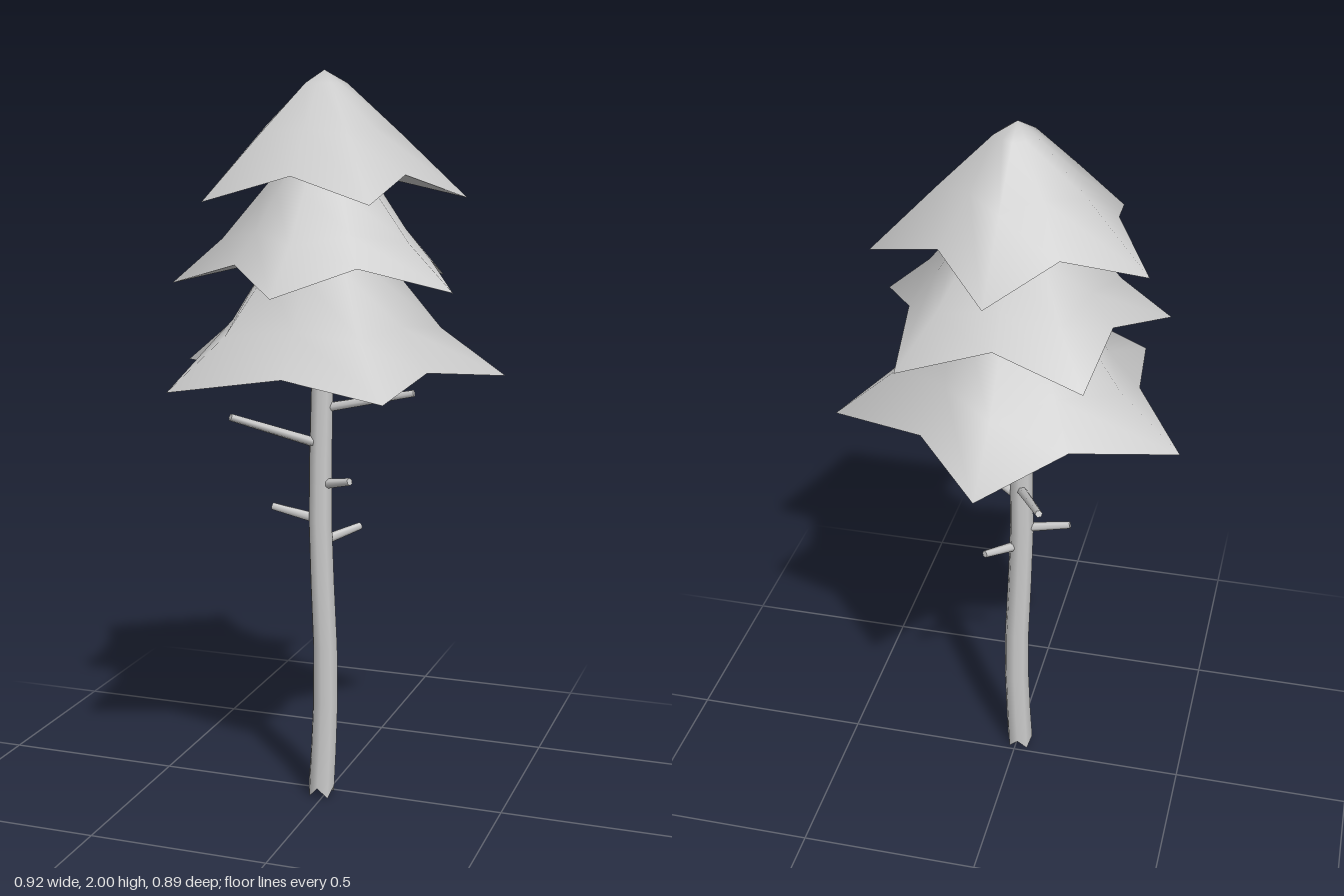
import * as THREE from 'three';
import { mergeVertices } from 'three/addons/utils/BufferGeometryUtils.js';

const material = new THREE.MeshStandardMaterial({ color: 0xcccccc });
const AXIS_Z = 0.04; // the tree axis sits slightly forward
const SPOKES = 10;   // five tips and five notches

// Centre line of the slightly bent trunk
const trunkLine = new THREE.CatmullRomCurve3([
  [-0.01, 0, 0.04], [0, 0.35, 0.032], [-0.013, 0.8, 0.04], [-0.005, 1.2, 0.045], [-0.003, 1.34, 0.045],
].map((p) => new THREE.Vector3(...p)));

function geometryFrom(positions, index) {
  const g = new THREE.BufferGeometry();
  g.setAttribute('position', new THREE.Float32BufferAttribute(positions, 3));
  g.setIndex(index);
  const merged = mergeVertices(g);
  merged.computeVertexNormals();
  return merged;
}

// Star-shaped skirt of foliage: rows of [tipRadius, tipY, notchRadius, notchY] from apex to rim
function foliageTier(name, rows, turn, hollowY) {
  const point = (row, i) => {
    const a = turn + (i * Math.PI * 2) / SPOKES;
    const [r, y] = i % 2 === 0 ? [row[0], row[1]] : [row[2], row[3]];
    return [Math.sin(a) * r, y, AXIS_Z + Math.cos(a) * r];
  };
  const ring = (row) => Array.from({ length: SPOKES }, (_, i) => point(row, i)).flat();

  const skirt = [];
  for (let j = 0; j < rows.length - 1; j++) {
    for (let i = 0; i < SPOKES; i++) {
      const next = (i + 1) % SPOKES;
      const a = j * SPOKES + i, d = j * SPOKES + next;
      const b = a + SPOKES, c = d + SPOKES;
      if (j > 0) skirt.push(a, c, d);
      skirt.push(a, b, c);
    }
  }
  const under = [];
  for (let i = 0; i < SPOKES; i++) under.push(SPOKES, (i + 1) % SPOKES, i);

  const group = new THREE.Group();
  group.name = name;
  const top = new THREE.Mesh(geometryFrom(rows.flatMap(ring), skirt), material);
  top.name = name + 'Skirt';
  const rim = rows[rows.length - 1];
  const bottom = new THREE.Mesh(geometryFrom([...ring(rim), 0, hollowY, AXIS_Z], under), material);
  bottom.name = name + 'Underside';
  group.add(top, bottom);
  return group;
}

// Bent trunk with a jagged broken base
function trunk() {
  const height = 1.34;
  const g = new THREE.CylinderGeometry(0.029, 0.038, height, 8, 10);
  const p = g.attributes.position;
  for (let i = 0; i < p.count; i++) {
    const x = p.getX(i), z = p.getZ(i);
    const t = THREE.MathUtils.clamp(p.getY(i) / height + 0.5, 0, 1);
    const centre = trunkLine.getPoint(t);
    let y = centre.y;
    if (t < 0.001) {
      const onAxis = Math.hypot(x, z) < 0.001;
      y = onAxis ? 0.035 : 0.015 + 0.015 * Math.cos(4 * Math.atan2(z, x));
    }
    p.setXYZ(i, centre.x + x, y, centre.z + z);
  }
  const mesh = new THREE.Mesh(g, material);
  mesh.name = 'trunk';
  return mesh;
}

// Short bare branch from inside the trunk out to its tip
function branch(baseY, tip, i) {
  const start = new THREE.Vector3(-0.008, baseY, 0.042);
  const end = new THREE.Vector3(...tip);
  const dir = end.clone().sub(start);
  const mesh = new THREE.Mesh(new THREE.CylinderGeometry(0.01, 0.014, dir.length(), 6), material);
  mesh.position.copy(start).add(end).multiplyScalar(0.5);
  mesh.quaternion.setFromUnitVectors(new THREE.Vector3(0, 1, 0), dir.normalize());
  mesh.name = 'branch' + (i + 1);
  return mesh;
}

export function createModel() {
  const tree = new THREE.Group();
  tree.name = 'pineTree';
  tree.add(trunk());

  [
    [1.11, [0.25, 1.165, 0.04]],
    [1.01, [-0.2, 1.105, 0.22]],
    [0.93, [-0.115, 1.03, -0.21]],
    [0.9, [0.09, 0.925, 0.095]],
    [0.8, [-0.15, 0.828, 0.045]],
    [0.74, [0.07, 0.765, -0.06]],
  ].forEach(([y, tip], i) => tree.add(branch(y, tip, i)));

  // Three tiers, the middle one turned half a step
  tree.add(foliageTier('lowerFoliage', [
    [0, 1.66, 0, 1.66], [0.1, 1.61, 0.1, 1.61], [0.18, 1.49, 0.165, 1.48],
    [0.31, 1.33, 0.245, 1.35], [0.485, 1.2, 0.33, 1.237],
  ], Math.PI, 1.32));
  tree.add(foliageTier('middleFoliage', [
    [0, 1.83, 0, 1.83], [0.08, 1.79, 0.08, 1.79], [0.165, 1.69, 0.15, 1.69],
    [0.27, 1.565, 0.215, 1.59], [0.405, 1.447, 0.28, 1.51],
  ], 0, 1.54));
  tree.add(foliageTier('upperFoliage', [
    [0, 2, 0, 2], [0.06, 1.966, 0.05, 1.965], [0.2, 1.838, 0.155, 1.855],
    [0.375, 1.672, 0.257, 1.737],
  ], Math.PI, 1.76));
  return tree;
}
